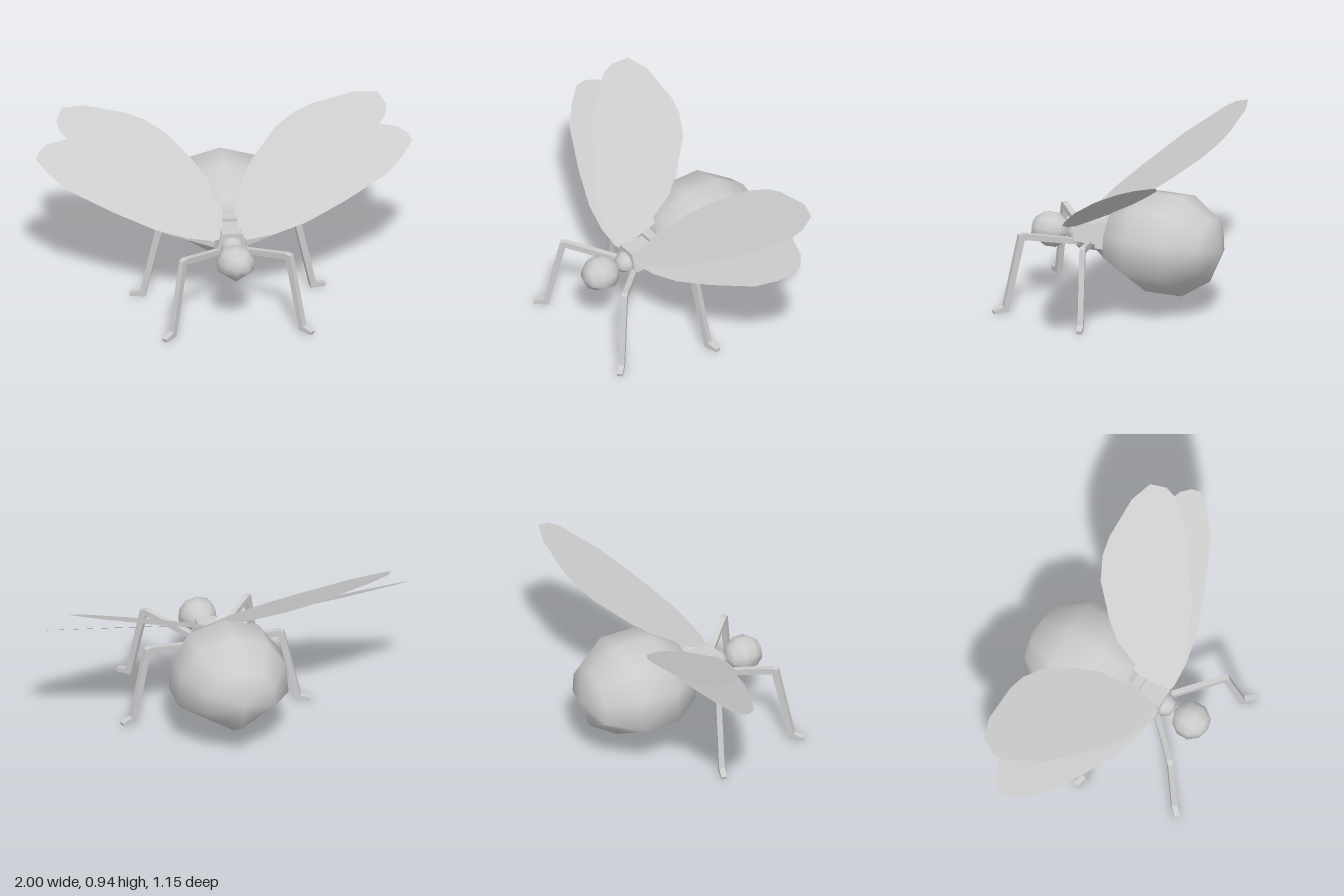
import * as THREE from 'three';
import { mergeVertices } from 'three/addons/utils/BufferGeometryUtils.js';

const smooth = new THREE.MeshStandardMaterial({ color: 0xcccccc });
const flat = new THREE.MeshStandardMaterial({ color: 0xcccccc, flatShading: true });
const thin = new THREE.MeshStandardMaterial({ color: 0xcccccc, side: THREE.DoubleSide });

function add(parent, name, geometry, material) {
  const mesh = new THREE.Mesh(geometry, material);
  mesh.name = name;
  parent.add(mesh);
  return mesh;
}

// Low-poly ball with its poles on z and a keel along the underside
function keeledBall(rx, ry, rz) {
  let g = new THREE.SphereGeometry(1, 10, 5, Math.PI / 10).rotateX(Math.PI / 2);
  const p = g.attributes.position;
  for (let i = 0; i < p.count; i++) {
    const x = p.getX(i), y = p.getY(i), r = Math.hypot(x, y);
    const deg = Math.atan2(y, Math.abs(x)) * 180 / Math.PI;
    if (r > 0.01 && Math.abs(deg + 54) < 2) p.setXY(i, x * 0.809, y * 0.809);
    if (r > 0.01 && Math.abs(deg - 18) < 2) p.setX(i, x * 0.95);
  }
  g.deleteAttribute('uv');
  g.deleteAttribute('normal');
  g = mergeVertices(g, 1e-4);
  g.scale(rx, ry, rz);
  g.computeVertexNormals();
  return g;
}

// Five-sided body ring, pointed edge down
const bodyRing = (r, length) => new THREE.CylinderGeometry(r, r, length, 5).rotateX(Math.PI / 2);

// Leg side outline: distance from root, height
const legOutline = [
  [-0.03, 0.36], [0.285, 0.43], [0.315, 0.425], [0.402, 0.035], [0.46, 0.018],
  [0.455, 0], [0.375, 0.005], [0.37, 0.03], [0.285, 0.395], [-0.03, 0.33],
];
function legGeometry() {
  const shape = new THREE.Shape(legOutline.map(([r, y]) => new THREE.Vector2(r, y)));
  return new THREE.ExtrudeGeometry(shape, { depth: 0.03, bevelEnabled: false }).translate(0, 0, -0.015);
}

// Wing outlines seen from above (x, z), lifted onto a sloping plane
const foreOutline = [
  [0.05, 0.23], [0.03, 0.05], [0.06, -0.05], [0.155, -0.19], [0.29, -0.33], [0.4, -0.385],
  [0.5, -0.403], [0.72, -0.4], [0.84, -0.36], [0.877, -0.28], [0.865, -0.22],
  [0.72, -0.05], [0.5, 0.1], [0.34, 0.19], [0.155, 0.24],
];
const hindOutline = [
  [0.05, 0.23], [0.08, 0.13], [0.17, -0.01], [0.3, -0.16], [0.45, -0.27], [0.6, -0.305],
  [0.75, -0.285], [0.865, -0.25], [0.93, -0.23], [0.98, -0.19], [1, -0.145], [0.94, -0.07],
  [0.85, 0.01], [0.61, 0.12], [0.4, 0.2], [0.235, 0.235], [0.1, 0.243],
];
function wingGeometry(outline, side, rootY, slopeX, slopeZ) {
  const g = new THREE.ShapeGeometry(new THREE.Shape(outline.map(([x, z]) => new THREE.Vector2(x, -z))));
  g.rotateX(-Math.PI / 2);
  const p = g.attributes.position;
  for (let i = 0; i < p.count; i++) {
    const x = p.getX(i), z = p.getZ(i);
    p.setXYZ(i, x * side, rootY + slopeX * (x - 0.05) + slopeZ * (z - 0.23), z);
  }
  // Mirroring reverses the corner order, so turn the faces back up
  if (side < 0) g.index.array.reverse();
  g.computeVertexNormals();
  return g;
}

export function createModel() {
  const model = new THREE.Group();
  model.name = 'insect';

  // Body
  add(model, 'abdomen', keeledBall(0.332, 0.294, 0.334), smooth).position.set(0, 0.38, -0.244);
  add(model, 'head', keeledBall(0.107, 0.1, 0.102), smooth).position.set(0, 0.37, 0.411);
  add(model, 'neck', keeledBall(0.066, 0.065, 0.066), smooth).position.set(0, 0.374, 0.241);
  add(model, 'frontThorax', bodyRing(0.091, 0.14), flat).position.set(0, 0.381, 0.174);
  add(model, 'rearThorax', bodyRing(0.118, 0.09), flat).position.set(0, 0.378, 0.06);

  // Paired legs and wings
  const leg = legGeometry();
  for (const [label, side] of [['left', 1], ['right', -1]]) {
    for (const [pair, x, z, angle] of [['Front', 0.07, 0.24, -Math.PI / 4], ['Back', 0.08, 0.15, 0.304]]) {
      const mesh = add(model, `${label}${pair}Leg`, leg, flat);
      mesh.position.set(x * side, 0, z);
      mesh.rotation.y = side > 0 ? angle : Math.PI - angle;
    }
    add(model, `${label}ForeWing`, wingGeometry(foreOutline, side, 0.43, 0.27, -0.5), thin);
    add(model, `${label}HindWing`, wingGeometry(hindOutline, side, 0.42, 0.112, -0.6), thin);
  }
  return model;
}
